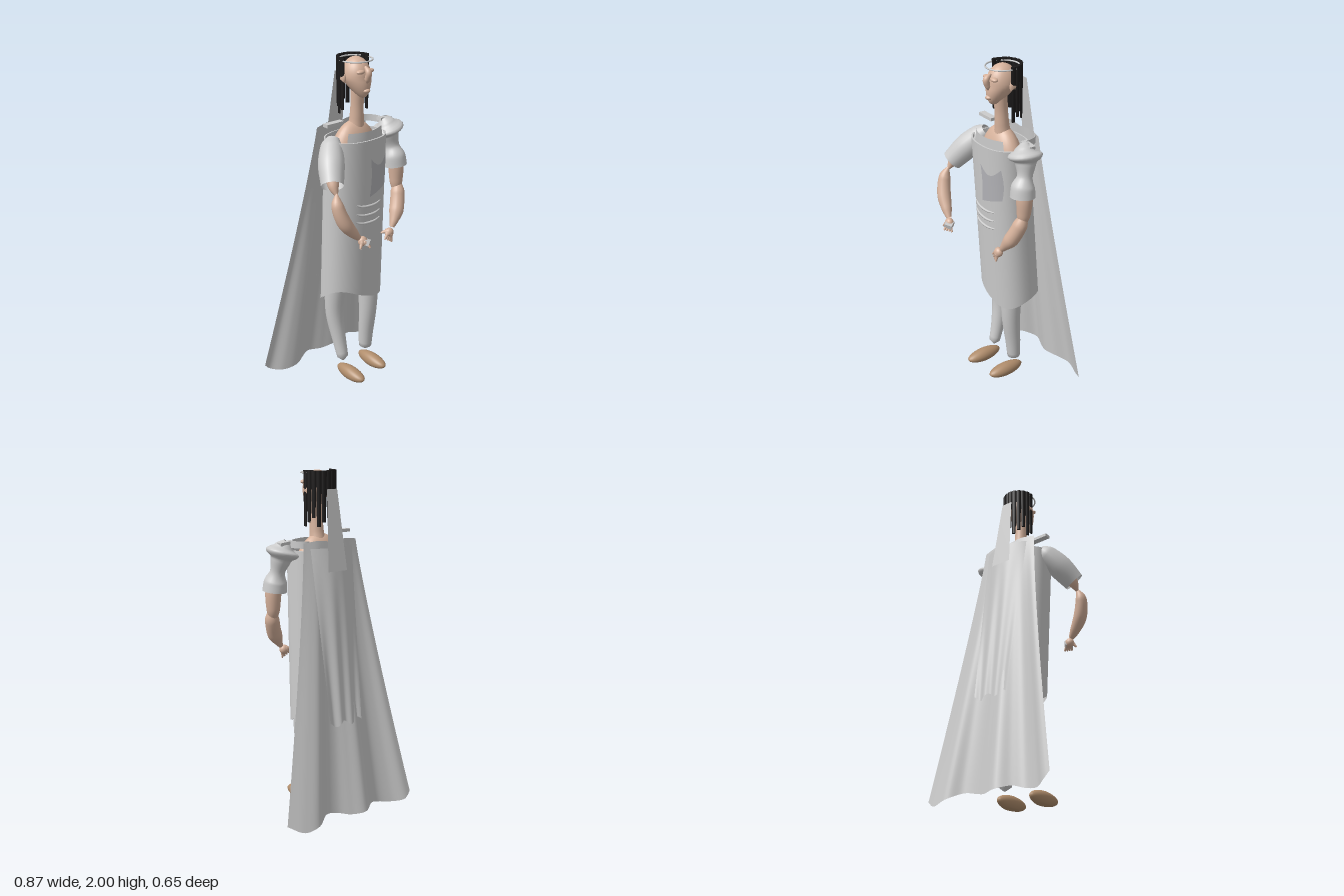
import * as THREE from 'three';
import { mergeVertices } from 'three/addons/utils/BufferGeometryUtils.js';

const GREY = 0xcccccc, SKIN = 0xd6b29c, HAIR = 0x1c1a1a, SHOE = 0xb08d6c;
const V = (p) => new THREE.Vector3(p[0], p[1], p[2]);

function weld(g) {
  g.deleteAttribute('uv');
  g.deleteAttribute('normal');
  const m = mergeVertices(g, 1e-5);
  m.computeVertexNormals();
  return m;
}

// Sheet whose points come from fn(u, v)
function sheet(fn, nu, nv) {
  const g = new THREE.PlaneGeometry(1, 1, nu, nv);
  const p = g.attributes.position;
  for (let i = 0; i < p.count; i++) p.setXYZ(i, ...fn(p.getX(i) + 0.5, 0.5 - p.getY(i)));
  return weld(g);
}

// Tube of varying radius through points [x, y, z, r]
function limb(pts, sides = 20, steps = 28) {
  const curve = new THREE.CatmullRomCurve3(pts.map(V));
  const radii = new THREE.CatmullRomCurve3(pts.map((p) => new THREE.Vector3(p[3], 0, 0)));
  const g = new THREE.TubeGeometry(curve, steps, 1, sides);
  const p = g.attributes.position, v = new THREE.Vector3();
  for (let i = 0; i < p.count; i++) {
    const u = Math.floor(i / (sides + 1)) / steps;
    const c = curve.getPointAt(u), r = Math.max(0.001, radii.getPoint(curve.getUtoTmapping(u)).x);
    v.fromBufferAttribute(p, i).sub(c).multiplyScalar(r).add(c);
    p.setXYZ(i, v.x, v.y, v.z);
  }
  return weld(g);
}

// Ellipsoid, optionally reshaped on the unit sphere before scaling
function blob(c, r, rule) {
  const g = new THREE.SphereGeometry(1, 32, 24);
  const p = g.attributes.position;
  for (let i = 0; rule && i < p.count; i++) p.setXYZ(i, ...rule(p.getX(i), p.getY(i), p.getZ(i)));
  return weld(g.scale(...r).translate(...c));
}

export function createModel() {
  const model = new THREE.Group();
  const add = (name, geo, color = GREY) => {
    const mesh = new THREE.Mesh(geo, new THREE.MeshStandardMaterial({ color, side: THREE.DoubleSide }));
    mesh.name = name;
    model.add(mesh);
    return mesh;
  };
  const lerp = THREE.MathUtils.lerp;

  // Body, neck and head
  add('torso', blob([0, 1.36, 0.02], [0.172, 0.285, 0.1], (x, y, z) => [x, Math.sign(y) * Math.abs(y) ** 0.9, z]), SKIN);
  add('neck', limb([[0.01, 1.58, 0.02, 0.052], [0.012, 1.65, 0.028, 0.041], [0.012, 1.74, 0.033, 0.037], [0.012, 1.84, 0.04, 0.04]]), SKIN);
  add('head', blob([0.01, 1.89, 0.025], [0.08, 0.11, 0.09], (x, y, z) => {
    const d = Math.max(0, -y);
    return [x * (1 - 0.45 * d), y, z * (1 - 0.25 * d) + 0.6 * d];
  }), SKIN);
  add('nose', limb([[0.01, 1.955, 0.1, 0.008], [0.01, 1.925, 0.128, 0.018], [0.01, 1.89, 0.118, 0.017], [0.01, 1.86, 0.11, 0.004]]), SKIN);
  add('mouth', blob([0.01, 1.825, 0.109], [0.022, 0.014, 0.022]), SKIN);
  for (const s of [-1, 1]) {
    add('ear', blob([0.01 + s * 0.085, 1.89, 0.015], [0.013, 0.032, 0.02]), SKIN);
    add('brow', blob([0.01 + s * 0.034, 1.93, 0.1], [0.026, 0.012, 0.018]), SKIN);
  }

  // Circlet
  const ring = new THREE.TorusGeometry(0.092, 0.0045, 8, 48).rotateX(Math.PI / 2).scale(1, 1, 1.03);
  add('circlet', ring.translate(0.01, 1.985, 0.022));

  // Hair strands hanging around the back of the head
  for (let i = 0; i < 11; i++) {
    const a = lerp(-0.05, Math.PI + 0.05, i / 10);
    const low = 1.69 + 0.025 * (i % 3);
    const g = new THREE.CylinderGeometry(0.016, 0.011, 2 - low, 10, 1).scale(0.55, 1, 1);
    g.rotateY(a).translate(0.01 + 0.09 * Math.cos(a), (2 + low) / 2, 0.01 - 0.092 * Math.sin(a));
    add('hairStrand', g, HAIR);
  }

  // Tunic: open tube with a wavy hem
  const tunic = (a, v) => {
    const c = Math.cos(a), s = Math.sin(a);
    const hem = 0.565 - 0.045 * Math.sin(2 * a) + 0.025 * s + 0.02 * Math.cos(2 * a);
    const round = (n) => Math.sign(n) * Math.abs(n) ** 0.88;
    return [lerp(0, 0.015, v) + lerp(0.19, 0.195, v) * round(c), lerp(1.56, hem, v),
      lerp(0.032, -0.025, v) + lerp(0.135, 0.147, v) * round(s)];
  };
  add('tunic', sheet((u, v) => tunic(-u * Math.PI * 2, v), 72, 20));
  add('tunicLining', sheet((u, v) => {
    const [x, y, z] = tunic(u * Math.PI * 2, v);
    return [x * 0.955, y, (z - 0.01) * 0.94 + 0.01];
  }, 72, 4));
  add('tunicRim', sheet((u, v) => {
    const [x, y, z] = tunic(-u * Math.PI * 2, 0);
    return [x * lerp(0.955, 1, v), y, (z - 0.01) * lerp(0.94, 1, v) + 0.01];
  }, 72, 1));

  // Collar panel standing inside the neckline
  add('collar', sheet((u, v) => {
    const x = lerp(-0.12, 0.13, u);
    return [x + (u - 0.5) * 0.03 * v, lerp(1.607, 1.52, v), 0.148 - 2.6 * x * x];
  }, 16, 2));

  // Point just in front of the tunic at x, y
  const front = (x, y, gap) => {
    const v = (1.56 - y) / 1;
    const n = Math.abs((x - 0.015 * v) / lerp(0.19, 0.195, v)) ** (1 / 0.88);
    return [x, y, lerp(0.032, -0.025, v) + lerp(0.135, 0.147, v) * Math.sqrt(1 - n * n) ** 0.88 + gap];
  };
  add('chestPatch', sheet((u, v) => front(lerp(0, 0.145, u) + 0.01 * Math.sin(v * 3), lerp(1.45, 1.22, v)
    - 0.05 * Math.sin(u * Math.PI) * (1 - v) + 0.04 * u * v, 0.003), 12, 12), 0xb4b4b8);
  for (const y of [1.165, 1.11, 1.06]) {
    const pts = [-0.085, -0.05, 0, 0.05, 0.095].map((x, i) =>
      [...front(x, y + 0.0035 * (i - 2) * (i - 2) - 0.003 * (i - 2), 0.002), [0.003, 0.007, 0.008, 0.007, 0.003][i]]);
    add('waistFold', limb(pts, 8, 20));
  }

  // Cape: lerp between the shoulder line and a rippled hem
  const topLine = new THREE.CatmullRomCurve3([[-0.18, 1.61, -0.085], [-0.09, 1.62, -0.1], [0, 1.61, -0.105],
    [0.1, 1.62, -0.105], [0.19, 1.61, -0.09]].map(V));
  const hemLine = new THREE.CatmullRomCurve3([[-0.44, 0.06, -0.318], [-0.4, 0.02, -0.32], [-0.33, 0.005, -0.275],
    [-0.24, 0.02, -0.25], [-0.17, 0.04, -0.275], [-0.09, 0.025, -0.323], [0, 0.02, -0.295], [0.08, 0.04, -0.265],
    [0.16, 0.055, -0.268], [0.25, 0.025, -0.32], [0.34, 0.005, -0.305], [0.43, 0.05, -0.258]].map(V));
  add('cape', sheet((u, v) => {
    const a = topLine.getPointAt(u), b = hemLine.getPointAt(u);
    return [lerp(a.x, b.x, v ** 1.18), lerp(a.y, b.y, v), lerp(a.z, b.z, v)];
  }, 72, 30));
  add('capeStrap', sheet((u, v) => [0.15 + 0.065 * Math.sin(u * 1.57), 1.62 - 0.04 * v, 0.01 - 0.1 * Math.cos(u * 1.57)], 12, 1));

  // Hanging back panel with a narrow upright strip
  add('backPanel', sheet((u, v) => {
    const w = lerp(0.145, 0.113, v), n = 2 * u - 1;
    return [0.008 + w * n, lerp(1.58, 0.58, v) + 0.015 * Math.sin(u * 14) * v,
      lerp(-0.15, -0.25, v) + lerp(0.045, 0.008, v) * n * n + 0.008 * Math.cos(n * 9) * v];
  }, 32, 16));
  add('uprightStrip', sheet((u, v) => [0.01 + lerp(0.035, 0.065, v) * (2 * u - 1),
    lerp(1.9, 1.45, v), lerp(-0.112, -0.168, v)], 4, 6));

  // Shoulder tabs
  const tab = (w, x, y, tilt) => {
    const m = add('shoulderTab', new THREE.BoxGeometry(w, 0.018, 0.038));
    m.position.set(x, y, 0.016);
    m.rotation.z = tilt;
  };
  tab(0.12, -0.145, 1.648, 0);
  tab(0.085, 0.237, 1.605, -0.1);

  // Right arm, raised forward
  add('rightSleeve', limb([[-0.15, 1.565, 0.02, 0.035], [-0.18, 1.53, 0.04, 0.062], [-0.235, 1.455, 0.1, 0.073], [-0.288, 1.365, 0.17, 0.062]]));
  add('rightUpperArm', limb([[-0.18, 1.53, 0.04, 0.02], [-0.24, 1.45, 0.11, 0.045], [-0.28, 1.36, 0.17, 0.03], [-0.285, 1.32, 0.2, 0.009]]), SKIN);
  add('rightForearm', limb([[-0.285, 1.33, 0.2, 0.006], [-0.297, 1.27, 0.22, 0.034], [-0.27, 1.17, 0.245, 0.04], [-0.22, 1.1, 0.26, 0.03], [-0.185, 1.06, 0.268, 0.016]]), SKIN);
  // Left arm, lowered
  add('leftSleeve', limb([[0.22, 1.615, 0.025, 0.02], [0.235, 1.575, 0.035, 0.06], [0.25, 1.52, 0.04, 0.06], [0.265, 1.445, 0.055, 0.043],
    [0.27, 1.385, 0.07, 0.066], [0.274, 1.33, 0.075, 0.07]], 24, 36));
  add('leftUpperArm', limb([[0.25, 1.52, 0.04, 0.03], [0.27, 1.42, 0.06, 0.036], [0.285, 1.33, 0.07, 0.046], [0.285, 1.22, 0.075, 0.038], [0.28, 1.16, 0.085, 0.02]]), SKIN);
  add('leftForearm', limb([[0.292, 1.24, 0.075, 0.012], [0.28, 1.16, 0.095, 0.042], [0.245, 1.07, 0.125, 0.043], [0.205, 1.01, 0.145, 0.025], [0.185, 0.98, 0.15, 0.014]]), SKIN);

  // Hands: palm, four fingers and a thumb
  const hand = (side, palm, tips, thumb) => {
    add(side + 'Palm', blob(palm, [0.028, 0.028, 0.024]), SKIN);
    const finger = (t) => add(side + 'Finger', limb([[...palm, 0.011], [(palm[0] + t[0]) / 2, (palm[1] + t[1]) / 2 + 0.006,
      (palm[2] + t[2]) / 2, 0.011], [...t, 0.005]], 8, 8), SKIN);
    for (let i = 0; i < 4; i++) finger(tips[0].map((n, k) => lerp(n, tips[1][k], i / 3)));
    finger(thumb);
  };
  hand('right', [-0.165, 1.04, 0.278], [[-0.15, 1.01, 0.325], [-0.12, 1.0, 0.29]], [-0.2, 1.01, 0.3]);
  hand('left', [0.16, 0.955, 0.155], [[0.115, 0.925, 0.165], [0.16, 0.9, 0.175]], [0.115, 0.955, 0.13]);
  const band = add('handBand', new THREE.BoxGeometry(0.045, 0.03, 0.05));
  band.position.set(-0.152, 1.035, 0.288);
  band.rotation.set(0.3, 0.6, -0.4);

  // Trousers
  add('rightLeg', limb([[-0.09, 0.88, -0.02, 0.07], [-0.1, 0.6, -0.035, 0.064], [-0.1, 0.42, -0.04, 0.055], [-0.092, 0.25, -0.01, 0.042], [-0.088, 0.13, 0.02, 0.032], [-0.088, 0.115, 0.022, 0.005]]));
  add('leftLeg', limb([[0.095, 0.88, 0.02, 0.07], [0.108, 0.6, 0.03, 0.064], [0.108, 0.42, 0.03, 0.055], [0.108, 0.25, 0.015, 0.046], [0.108, 0.13, 0.008, 0.038], [0.108, 0.115, 0.008, 0.005]]));

  // Shoes with flat soles
  const shoe = (name, x, z) => add(name, blob([x, 0.06, z], [0.046, 0.043, 0.118], (a, b, c) =>
    [a * (0.92 + 0.1 * c), Math.max(-0.8, b) * (1 - 0.15 * Math.max(0, c)), c]), SHOE);
  shoe('rightShoe', -0.092, 0.097);
  shoe('leftShoe', 0.11, 0.07);
  return model;
}
